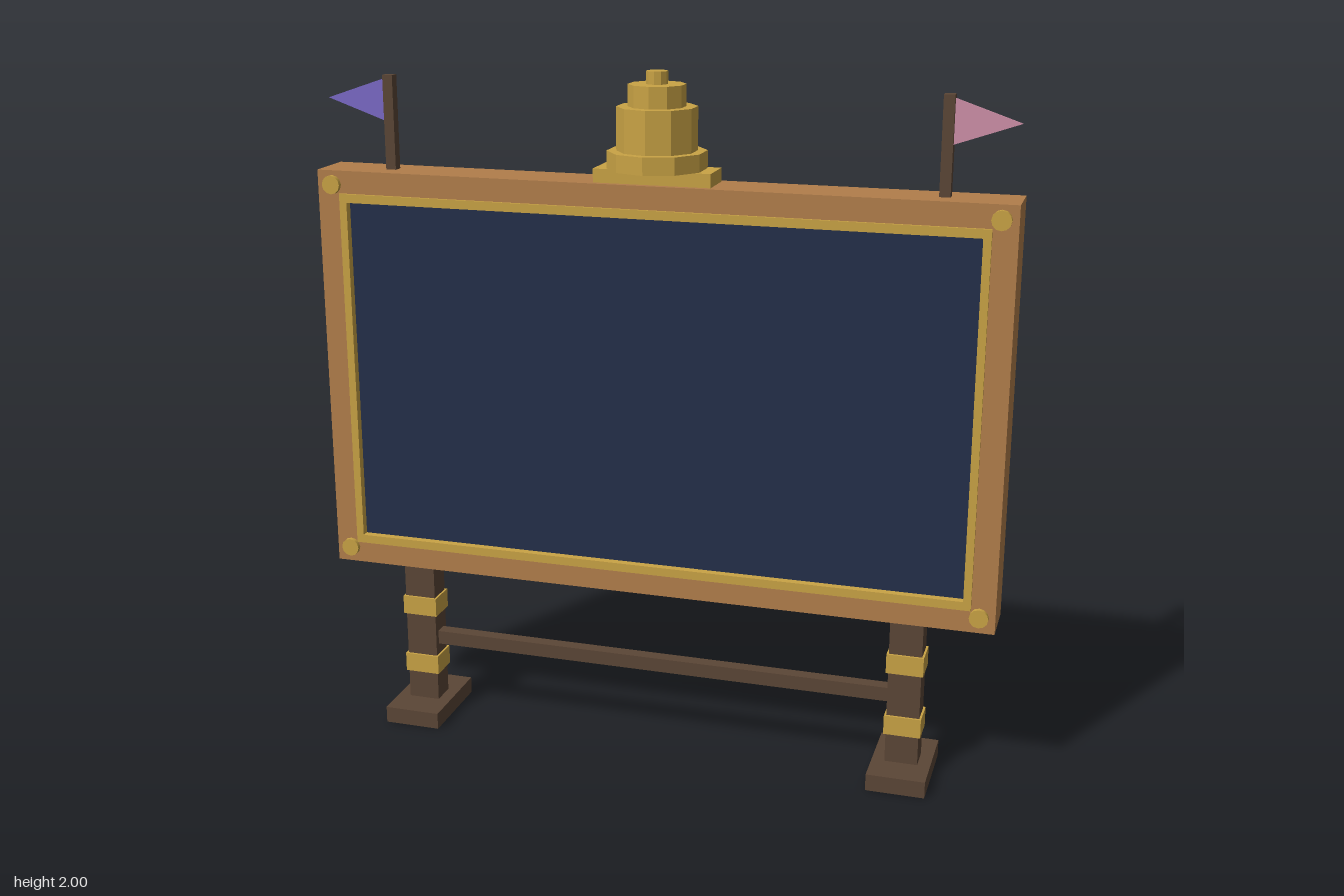
import * as THREE from 'three';

const mat = (name, color) => {
  const m = new THREE.MeshStandardMaterial({ color });
  m.name = name;
  return m;
};

export function createModel() {
  const wood = mat('wood', 0xb17e4b);
  const darkWood = mat('darkWood', 0x5b4636);
  const gold = mat('gold', 0xc9a345);
  const navy = mat('navy', 0x242f4a);
  const purple = mat('purple', 0x7a69c6);
  const pink = mat('pink', 0xcd8fa7);
  const plateGrey = mat('plateGrey', 0xbbb3aa);

  const model = new THREE.Group();
  model.name = 'noticeBoard';

  const add = (name, geometry, material, x = 0, y = 0, z = 0) => {
    const mesh = new THREE.Mesh(geometry, material);
    mesh.name = name;
    mesh.position.set(x, y, z);
    model.add(mesh);
    return mesh;
  };
  const box = (name, material, w, h, d, x, y, z = 0) =>
    add(name, new THREE.BoxGeometry(w, h, d), material, x, y, z);
  // faceted cylinder standing on y0
  const tier = (name, r, y0, y1, sides = 10) =>
    add(name, new THREE.CylinderGeometry(r, r, y1 - y0, sides).toNonIndexed(), gold, 0, (y0 + y1) / 2)
      .geometry.computeVertexNormals();
  // flat disc facing along z
  const disc = (name, material, r, depth, sides, x, y, z) =>
    add(name, new THREE.CylinderGeometry(r, r, depth, sides).rotateX(Math.PI / 2), material, x, y, z);
  // rectangular ring from outer and inner half sizes
  const ring = (name, material, ow, oh, iw, ih, depth, y, z) => {
    const rect = (P, w, h) => {
      const p = new P();
      p.moveTo(-w, -h); p.lineTo(w, -h); p.lineTo(w, h); p.lineTo(-w, h); p.closePath();
      return p;
    };
    const shape = rect(THREE.Shape, ow, oh);
    shape.holes.push(rect(THREE.Path, iw, ih));
    return add(name, new THREE.ExtrudeGeometry(shape, { depth, bevelEnabled: false }), material, 0, y, z);
  };

  // Board with a slightly recessed screen
  const midY = 1.099;
  box('boardBack', wood, 1.99, 1.197, 0.13, 0, midY, -0.01);
  ring('boardFrame', wood, 0.995, 0.5985, 0.915, 0.52, 0.02, midY, 0.055);
  ring('goldTrim', gold, 0.927, 0.533, 0.905, 0.508, 0.028, midY, 0.055);
  box('screen', navy, 1.82, 1.026, 0.006, 0, midY, 0.057);
  for (const x of [-0.95, 0.95])
    for (const y of [0.547, 1.657]) disc('cornerStud', gold, 0.027, 0.02, 12, x, y, 0.078);

  // Legs, feet, gold bands and crossbar
  for (const s of [-1, 1]) {
    box('leg', darkWood, 0.095, 0.46, 0.076, s * 0.747, 0.27);
    box('foot', darkWood, 0.17, 0.05, 0.27, s * 0.747, 0.025);
    for (const y of [0.168, 0.36]) box('legBand', gold, 0.107, 0.058, 0.09, s * 0.747, y);
  }
  box('crossbar', darkWood, 1.42, 0.042, 0.04, 0, 0.252);

  // Stepped bell ornament on top
  box('bellBase', gold, 0.335, 0.04, 0.115, 0, 1.716);
  tier('bellRim', 0.139, 1.736, 1.785);
  tier('bellBody', 0.112, 1.785, 1.905);
  tier('bellCrown', 0.08, 1.905, 1.965);
  tier('bellKnob', 0.03, 1.965, 2.0);

  // Flagpoles with pennants pointing outwards
  for (const s of [-1, 1]) {
    box('flagpole', darkWood, 0.03, 0.27, 0.03, s * 0.792, 1.83);
    const pts = [[s * 0.8, 1.832], [s * 0.982, 1.895], [s * 0.8, 1.957]];
    const shape = new THREE.Shape(pts.map(([x, y]) => new THREE.Vector2(x, y)));
    add('pennant', new THREE.ExtrudeGeometry(shape, { depth: 0.008, bevelEnabled: false }),
      s < 0 ? purple : pink, 0, 0, -0.004);
  }

  // Plank grooves across the back
  for (let i = -3; i <= 3; i++) box('plankGroove', darkWood, 0.016, 0.98, 0.008, i * 0.227, 1.1, -0.076);

  // Back plate with a paw made of one pad and four toes
  box('backPlate', plateGrey, 0.497, 0.515, 0.012, 0, 1.102, -0.078);
  disc('pawPad', purple, 0.09, 0.008, 10, 0, 1.06, -0.086).scale.y = 0.95;
  for (const [x, y] of [[-0.092, 1.158], [-0.031, 1.205], [0.031, 1.205], [0.092, 1.158]])
    disc('pawToe', purple, 0.034, 0.008, 8, x, y, -0.086);

  return model;
}
